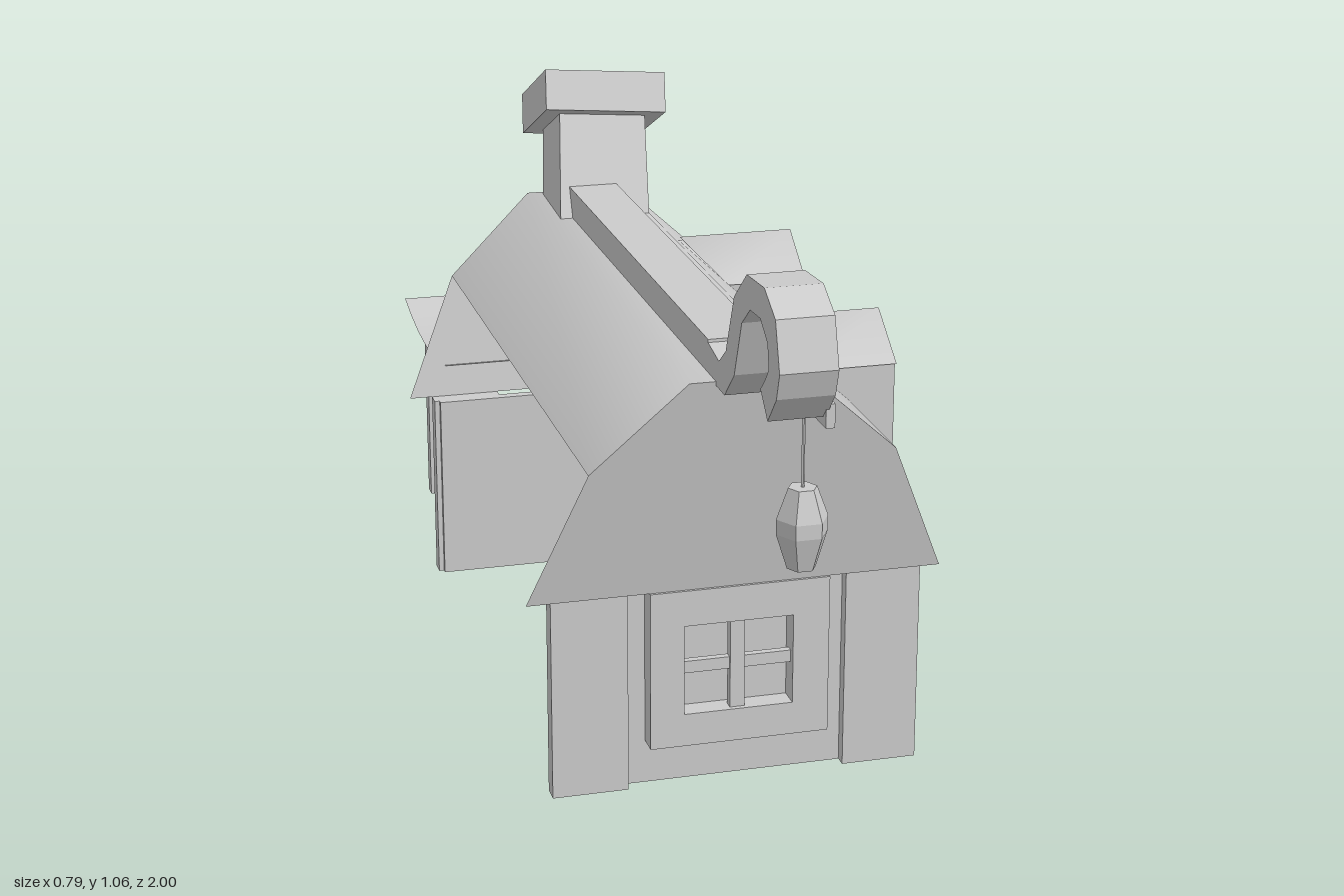
import * as THREE from 'three';

const mat = new THREE.MeshStandardMaterial({ color: 0xcccccc, flatShading: true, side: THREE.DoubleSide });
const smoothMat = new THREE.MeshStandardMaterial({ color: 0xcccccc, side: THREE.DoubleSide });
const singleMat = new THREE.MeshStandardMaterial({ color: 0xcccccc, flatShading: true });

function add(parent, name, geometry, material = mat) {
  const mesh = new THREE.Mesh(geometry, material);
  mesh.name = name;
  parent.add(mesh);
  return mesh;
}

// Box given by its minimum and maximum on each axis
function box(parent, name, x0, x1, y0, y1, z0, z1) {
  const m = add(parent, name, new THREE.BoxGeometry(x1 - x0, y1 - y0, z1 - z0));
  m.position.set((x0 + x1) / 2, (y0 + y1) / 2, (z0 + z1) / 2);
  return m;
}

const points = (pts) => pts.map(([x, y]) => new THREE.Vector2(x, y));
const rect = (x0, x1, y0, y1) => [[x0, y0], [x1, y0], [x1, y1], [x0, y1]];

function plate(pts, depth, holes = []) {
  const shape = new THREE.Shape(points(pts));
  holes.forEach((h) => shape.holes.push(new THREE.Path(points(h))));
  return new THREE.ExtrudeGeometry(shape, { depth, bevelEnabled: false });
}

// Group whose local +z is turned to face outwards, optionally leaning
function place(parent, name, x, y, z, turn = 0, lean = 0) {
  const g = new THREE.Group();
  g.name = name;
  g.rotation.order = 'YXZ';
  g.rotation.set(lean, turn, 0);
  g.position.set(x, y, z);
  parent.add(g);
  return g;
}

// Framed window with a cross of bars and a recessed pane
function crossWindow(g, outline, depth, x0, x1, y0, y1) {
  add(g, 'windowFrame', plate(outline, depth, [rect(x0, x1, y0, y1)]));
  const cx = (x0 + x1) / 2, cy = (y0 + y1) / 2;
  box(g, 'verticalBar', cx - 0.013, cx + 0.013, y0, y1, depth * 0.4, depth * 0.8);
  box(g, 'horizontalBar', x0, x1, cy - 0.011, cy + 0.011, depth * 0.4, depth * 0.7);
  box(g, 'pane', x0, x1, y0, y1, 0, 0.004);
}

// Roof ends lean outwards with height
const LEAN = 0.177;
const endZ = (y, end) => (end > 0 ? 0.58 : -0.525) + end * (y - 0.38) * LEAN;

function buildRoof(house) {
  const profile = [[0.34, 0.38], [0.24, 0.62], [0.07, 0.775], [-0.13, 0.775], [-0.295, 0.62]];
  const pos = [], idx = [];
  profile.forEach(([x, y], i) => {
    pos.push(x, y, endZ(y, 1), x, y, endZ(y, -1));
    const a = i * 2;
    if (i) idx.push(a - 2, a - 1, a, a - 1, a + 1, a);
  });
  const roof = new THREE.BufferGeometry();
  roof.setAttribute('position', new THREE.Float32BufferAttribute(pos, 3));
  roof.setIndex(idx);
  roof.computeVertexNormals();
  add(house, 'roof', roof, smoothMat);

  for (const end of [1, -1]) {
    const gable = new THREE.ShapeGeometry(new THREE.Shape(points([...profile, [-0.395, 0.38]])));
    const p = gable.attributes.position;
    for (let i = 0; i < p.count; i++) p.setZ(i, endZ(p.getY(i), end));
    add(house, end > 0 ? 'frontGable' : 'backGable', gable);
  }
  box(house, 'ridgeBeam', -0.085, 0.01, 0.77, 0.832, -0.42, 0.6);
}

function buildWalls(house) {
  box(house, 'frontWall', -0.34, 0.28, 0.01, 0.38, 0.525, 0.545);
  box(house, 'backWall', -0.34, 0.28, 0.01, 0.38, -0.505, -0.485);
  box(house, 'sideWall', 0.26, 0.275, 0.01, 0.38, -0.5, 0.54);
  // Corner posts
  box(house, 'frontCornerPost', 0.175, 0.31, 0.01, 0.38, 0.48, 0.567);
  box(house, 'frontOpenPost', -0.35, -0.215, 0.01, 0.38, 0.535, 0.567);
  box(house, 'backCornerPost', 0.175, 0.31, 0.01, 0.38, -0.525, -0.42);
  box(house, 'backOpenPost', -0.35, -0.215, 0.01, 0.38, -0.525, -0.495);
  box(house, 'sideBoard', 0.26, 0.305, 0.01, 0.38, -0.275, -0.22);

  // Front window
  const front = place(house, 'frontWindow', 0, 0, 0.54);
  crossWindow(front, rect(-0.18, 0.14, 0.09, 0.38), 0.045, -0.12, 0.075, 0.15, 0.315);

  // Side window with two openings above a sill panel
  const side = place(house, 'sideWindow', 0.27, 0, 0.34, Math.PI / 2);
  add(side, 'windowFrame', plate(rect(-0.14, 0.14, 0.1, 0.38), 0.035,
    [rect(-0.1, -0.012, 0.16, 0.325), rect(0.015, 0.1, 0.16, 0.325)]));
  box(side, 'lowerPanel', -0.14, 0.14, 0.01, 0.1, 0, 0.025);

  // Pointed doorway with a gabled surround
  const door = place(house, 'doorway', 0.27, 0, -0.035, Math.PI / 2);
  const arch = [[-0.1, 0.01], [-0.1, 0.255], [0, 0.335], [0.1, 0.255], [0.1, 0.01]];
  add(door, 'doorSurround', plate([[-0.125, 0.01], [-0.1, 0.01], [-0.1, 0.255], [0, 0.335],
    [0.1, 0.255], [0.1, 0.01], [0.125, 0.01], [0.125, 0.295], [0.145, 0.28], [0.145, 0.3],
    [0.04, 0.38], [-0.04, 0.38], [-0.145, 0.3], [-0.145, 0.28], [-0.125, 0.295]], 0.042));
  add(door, 'door', plate(arch, 0.012));

  // Steps with a sloping top
  for (const z of [0.155, -0.235]) {
    const step = add(house, 'step', plate([[0.265, 0.01], [0.395, 0.01], [0.395, 0.058], [0.31, 0.07], [0.265, 0.07]], 0.085));
    step.position.z = z - 0.0425;
  }
}

function buildDormer(house, z) {
  const g = place(house, 'dormer', 0.315, 0, z, Math.PI / 2);
  const outer = (w, y0, y1, y2) => [[-w, y0], [w, y0], [w, y1], [0, y2], [-w, y1]];
  const opening = outer(0.074, 0.51, 0.655, 0.71);
  const face = add(g, 'dormerFront', plate(outer(0.1, 0.455, 0.685, 0.75), 0.03, [opening]));
  face.position.z = -0.022;
  // Cheeks and little roof, running back into the main roof
  const body = add(g, 'dormerBody', plate(outer(0.1, 0.455, 0.683, 0.75), 0.2));
  body.position.z = -0.222;
  // Roof sheet whose back edge follows the main slope
  const roof = new THREE.BufferGeometry();
  roof.setAttribute('position', new THREE.Float32BufferAttribute([
    -0.104, 0.683, 0.01, -0.104, 0.683, -0.145, 0, 0.756, 0.01, 0, 0.756, -0.215,
    0.104, 0.683, 0.01, 0.104, 0.683, -0.145], 3));
  roof.setIndex([0, 2, 1, 1, 2, 3, 2, 4, 3, 3, 4, 5]);
  roof.computeVertexNormals();
  add(g, 'dormerRoof', roof, smoothMat);
  box(g, 'transom', -0.074, 0.074, 0.58, 0.6, -0.022, 0.002);
  box(g, 'mullion', -0.01, 0.01, 0.51, 0.59, -0.022, 0);
}

function buildChimney(house) {
  const g = place(house, 'chimney', 0, 0.96, -0.565);
  g.rotation.set(-0.42, 0, -0.08);
  const shaft = add(g, 'chimneyShaft', new THREE.CylinderGeometry(0.12, 0.127, 0.3, 4, 1, true).rotateY(Math.PI / 4), singleMat);
  shaft.position.y = -0.12;
  const cap = add(g, 'chimneyCap', plate(rect(-0.12, 0.12, -0.123, 0.123), 0.08, [rect(-0.083, 0.083, -0.083, 0.083)]));
  cap.rotation.x = -Math.PI / 2;
  cap.position.y = -0.04;
}

function buildHook(house) {
  // Curled end of the ridge beam, as z and y pairs
  const curl = [[0.58, 0.77], [0.64, 0.768], [0.7, 0.768], [0.755, 0.82], [0.795, 0.92], [0.84, 0.955],
    [0.895, 0.958], [0.935, 0.93], [0.943, 0.89], [0.925, 0.868], [0.9, 0.845], [0.94, 0.805], [0.985, 0.855],
    [1.0, 0.9], [0.975, 0.98], [0.915, 1.013], [0.82, 1.007], [0.75, 0.95], [0.705, 0.845], [0.665, 0.815], [0.58, 0.83]];
  const hook = add(house, 'hook', plate(curl.map(([z, y]) => [-z, y]), 0.095));
  hook.rotation.y = Math.PI / 2;
  hook.position.x = -0.085;

  // Hanging lantern
  box(house, 'lanternPeg', 0.005, 0.02, 0.79, 0.83, 0.875, 0.955);
  const cord = add(house, 'lanternCord', new THREE.CylinderGeometry(0.003, 0.003, 0.18, 5));
  cord.position.set(-0.02, 0.76, 0.92);
  const lantern = add(house, 'lantern', new THREE.LatheGeometry(
    points([[0, 0], [0.024, 0], [0.043, 0.06], [0.043, 0.085], [0.024, 0.136], [0, 0.136]]), 6));
  lantern.rotation.y = Math.PI / 6;
  lantern.position.set(-0.02, 0.548, 0.92);
}

function buildAwning(house) {
  // Sagging cloth sheet on two thin posts
  const cloth = new THREE.PlaneGeometry(0.52, 0.48, 1, 6).rotateX(-Math.PI / 2);
  const p = cloth.attributes.position;
  for (let i = 0; i < p.count; i++) {
    const t = p.getZ(i) / 0.24;
    p.setY(i, 0.415 + 0.03 * t * t);
  }
  cloth.computeVertexNormals();
  add(house, 'awning', cloth, smoothMat).position.set(-0.06, 0, -0.76);
  box(house, 'awningPost', -0.28, -0.255, 0, 0.437, -0.995, -0.965);
  box(house, 'awningPost', 0.155, 0.18, 0, 0.437, -0.98, -0.95);
}

export function createModel() {
  const house = new THREE.Group();
  house.name = 'cottage';
  buildWalls(house);
  buildRoof(house);
  for (const z of [0.272, -0.265]) buildDormer(house, z);
  // Attic window lying on the leaning back gable
  const attic = place(house, 'atticWindow', -0.03, 0.57, -0.56, Math.PI, 0.175);
  crossWindow(attic, rect(-0.125, 0.125, -0.12, 0.12), 0.03, -0.085, 0.085, -0.075, 0.075);
  buildChimney(house);
  buildHook(house);
  buildAwning(house);
  return house;
}
